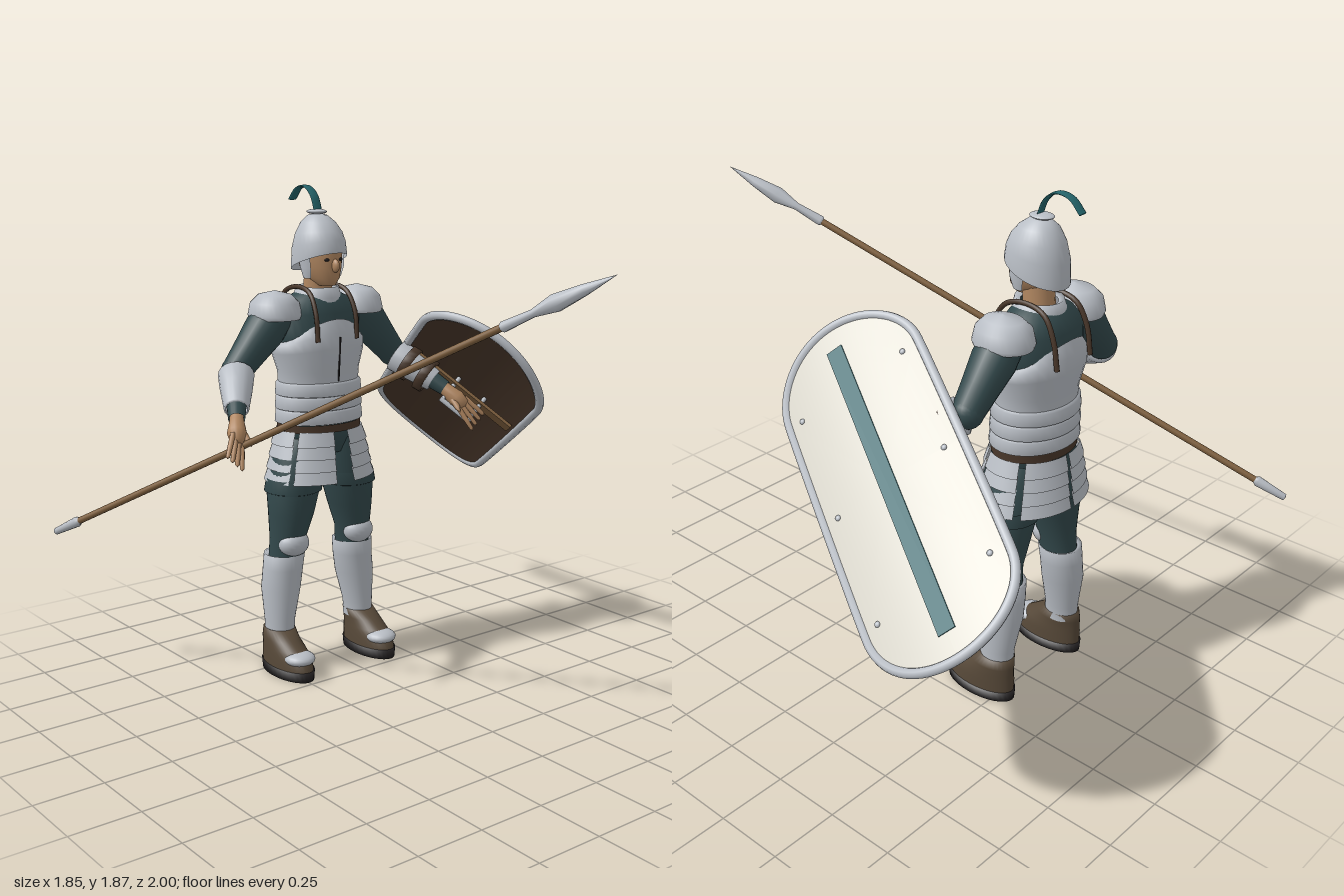
import * as THREE from 'three';

const mat = (name, color, side = THREE.DoubleSide) => {
  const m = new THREE.MeshStandardMaterial({ color, side });
  m.name = name;
  return m;
};
const V = (x, y, z) => new THREE.Vector3(x, y, z);

export function createModel() {
  const steel = mat('steel', 0xb9bec5), cloth = mat('dark cloth', 0x33494c), teal = mat('teal', 0x24646a),
    cream = mat('cream paint', 0xdad7cc), skin = mat('skin', 0xb08660), boot = mat('boot leather', 0x564838),
    strap = mat('strap leather', 0x49372a), wood = mat('wood', 0x80613f), dark = mat('black', 0x201d1e);

  const model = new THREE.Group(), body = new THREE.Group();
  model.name = 'spearman';
  body.name = 'body';
  body.position.x = -0.05;
  model.add(body);

  const add = (parent, name, geo, material, pos = [0, 0, 0], scale = [1, 1, 1]) => {
    const m = new THREE.Mesh(geo, material);
    m.name = name;
    m.position.set(...pos);
    m.scale.set(...scale);
    parent.add(m);
    return m;
  };
  const ball = (parent, name, material, pos, scale) =>
    add(parent, name, new THREE.SphereGeometry(1, 20, 14), material, pos, scale);

  // Skin over stacked ellipses: [x, y, z, rx, rz, side dip, forward tilt]; angles run from the front
  const loft = (rows, a0 = 0, a1 = 360, n = 32) => {
    const pos = [], idx = [], closed = a1 - a0 === 360, cols = closed ? n : n + 1;
    for (const [x, y, z, rx, rz, dip = 0, tilt = 0] of rows)
      for (let i = 0; i < cols; i++) {
        const a = THREE.MathUtils.degToRad(a0 + (a1 - a0) * i / n), s = Math.sin(a), c = Math.cos(a);
        pos.push(x + rx * s, y - dip * s * s + tilt * c, z + rz * c);
      }
    for (let r = 0; r < rows.length - 1; r++)
      for (let i = 0; i < n; i++) {
        const a = r * cols + i, b = r * cols + (i + 1) % cols;
        idx.push(a, b, a + cols, b, b + cols, a + cols);
      }
    const g = new THREE.BufferGeometry();
    g.setAttribute('position', new THREE.Float32BufferAttribute(pos, 3));
    g.setIndex(idx);
    g.computeVertexNormals();
    return g;
  };

  // Turned part between two points: profile of [radius, fraction of length]
  const spin = (parent, name, material, a, b, profile, n = 18) => {
    const d = b.clone().sub(a), len = d.length();
    const pts = profile.map(([r, t]) => new THREE.Vector2(r, t * len));
    const m = add(parent, name, new THREE.LatheGeometry(pts, n), material, a.toArray());
    m.quaternion.setFromUnitVectors(V(0, 1, 0), d.normalize());
    return m;
  };

  // Torso
  add(body, 'tunic', loft([[0, 0.84, -0.46, 0.001, 0.001], [0, 0.86, -0.46, 0.1, 0.09], [0, 0.95, -0.465, 0.165, 0.125],
    [0, 1.12, -0.465, 0.15, 0.115], [0, 1.3, -0.47, 0.175, 0.13], [0, 1.4, -0.47, 0.185, 0.12],
    [0, 1.45, -0.47, 0.13, 0.095], [0, 1.48, -0.465, 0.07, 0.07]]), cloth);
  add(body, 'cuirass', loft([[0, 1.12, -0.465, 0.165, 0.128], [0, 1.18, -0.465, 0.168, 0.132],
    [0, 1.27, -0.468, 0.19, 0.148, 0.02], [0, 1.33, -0.47, 0.192, 0.148, 0.05], [0, 1.38, -0.47, 0.165, 0.132, 0.08]]), steel);
  add(body, 'cuirassSeam', new THREE.BoxGeometry(0.004, 0.17, 0.006), dark, [0, 1.23, -0.324]).rotation.x = 0.09;
  for (let i = 0; i < 3; i++) {
    const y = 0.98 + i * 0.053, r = 0.182 - i * 0.002;
    add(body, 'waistBand', loft([[0, y, -0.465, r - 0.012, 0.13], [0, y + 0.004, -0.465, r, 0.142],
      [0, y + 0.046, -0.465, r - 0.004, 0.139], [0, y + 0.055, -0.465, r - 0.014, 0.128]]), steel);
  }
  add(body, 'belt', loft([[0, 0.95, -0.465, 0.172, 0.135], [0, 0.98, -0.465, 0.172, 0.135]]), strap);
  add(body, 'collar', loft([[0, 1.42, -0.465, 0.11, 0.098], [0, 1.455, -0.465, 0.092, 0.093],
    [0, 1.495, -0.463, 0.078, 0.086], [0, 1.485, -0.463, 0.06, 0.065]]), steel);

  // Overlapping skirt plates: front, side and back panels
  for (const s of [-1, 1])
    for (const [p, q] of [[10, 56], [62, 116], [124, 178]])
      for (let i = 0; i < 4; i++) {
        const y = 0.955 - i * 0.047, g = i * 0.011;
        const rows = [[0, y - 0.055, -0.465, 0.198 + g, 0.158 + g * 0.6], [0, y, -0.465, 0.176 + g, 0.143 + g * 0.6]];
        add(body, 'skirtPlate', loft(rows, s > 0 ? p : -q, s > 0 ? q : -p, 10), steel);
      }

  // Head and helmet
  spin(body, 'neck', skin, V(0, 1.43, -0.465), V(0, 1.56, -0.455), [[0.057, 0], [0.052, 1]]);
  add(body, 'head', loft([[0, 1.498, -0.4, 0.001, 0.001], [0, 1.502, -0.4, 0.03, 0.035], [0, 1.53, -0.425, 0.056, 0.075],
    [0, 1.57, -0.44, 0.071, 0.093], [0, 1.62, -0.445, 0.078, 0.098], [0, 1.67, -0.45, 0.076, 0.095]]), skin);
  ball(body, 'nose', skin, [0, 1.578, -0.345], [0.013, 0.025, 0.022]);
  ball(body, 'mouth', strap, [0, 1.54, -0.356], [0.02, 0.004, 0.005]);
  for (const s of [-1, 1]) {
    ball(body, 'eye', dark, [s * 0.03, 1.6, -0.355], [0.011, 0.006, 0.005]);
    add(body, 'cheekGuard', loft([[0, 1.53, -0.43, 0.079, 0.05], [0, 1.57, -0.43, 0.088, 0.07],
      [0, 1.65, -0.44, 0.095, 0.085]], s > 0 ? 60 : -110, s > 0 ? 110 : -60, 8), steel);
  }
  add(body, 'helmet', loft([[0, 1.585, -0.45, 0.1, 0.116, 0, 0.04], [0, 1.6, -0.45, 0.1, 0.116, 0, 0.038],
    [0, 1.65, -0.45, 0.097, 0.111, 0, 0.02], [0, 1.695, -0.45, 0.085, 0.097, 0, 0.008], [0, 1.735, -0.452, 0.062, 0.072],
    [0, 1.76, -0.455, 0.034, 0.04], [0, 1.768, -0.455, 0.001, 0.001]]), steel);
  ball(body, 'helmetFinial', steel, [0, 1.772, -0.46], [0.035, 0.01, 0.045]);
  const plume = new THREE.CatmullRomCurve3([V(0, 1.77, -0.45), V(0, 1.83, -0.475), V(0, 1.862, -0.52),
    V(0, 1.855, -0.575), V(0, 1.812, -0.62)]);
  add(body, 'plume', new THREE.TubeGeometry(plume, 20, 0.005, 8), teal, [0, 0, 0], [3.8, 1, 1]);

  for (const s of [-1, 1]) {
    const P = (x, y, z) => V(s * x, y, z);
    const X = s * 0.19;

    // Shoulder plate and harness strap
    add(body, 'shoulderPlate', loft([[X, 1.385, -0.47, 0.092, 0.105], [X, 1.4, -0.47, 0.098, 0.11],
      [X, 1.445, -0.47, 0.088, 0.1], [X, 1.475, -0.468, 0.058, 0.07], [X, 1.49, -0.466, 0.001, 0.001]]), steel);
    const harness = new THREE.CatmullRomCurve3([P(0.09, 1.3, -0.335), P(0.09, 1.4, -0.345), P(0.085, 1.475, -0.39),
      P(0.08, 1.495, -0.47), P(0.085, 1.475, -0.55), P(0.09, 1.4, -0.595), P(0.09, 1.3, -0.615)]);
    add(body, 'harnessStrap', new THREE.TubeGeometry(harness, 32, 0.009, 8), strap);

    // Arm
    const elbow = P(0.365, 1.205, -0.47), wrist = P(0.48, 1.075, -0.29), knuckle = P(0.528, 1.005, -0.215);
    spin(body, 'upperArm', cloth, P(0.17, 1.42, -0.47), elbow, [[0.07, 0], [0.078, 0.35], [0.065, 0.7], [0.055, 1]]);
    ball(body, 'elbow', cloth, elbow.toArray(), [0.056, 0.056, 0.056]);
    spin(body, 'forearm', cloth, elbow, wrist, [[0.052, 0], [0.033, 0.9], [0.03, 1.05]]);
    spin(body, 'armGuard', steel, elbow, wrist, [[0.052, 0.08], [0.067, 0.1], [0.06, 0.4], [0.046, 0.82], [0.038, 0.83]]);

    // Hand
    spin(body, 'palm', skin, wrist, knuckle, [[0.024, -0.1], [0.027, 0.2], [0.035, 0.65], [0.024, 1], [0, 1.08]]);
    for (let i = 0; i < 4; i++) {
      const o = P(0.013 * (1.5 - i), 0.012 * (1.5 - i), 0);
      spin(body, 'finger', skin, knuckle.clone().add(o), P(0.567, 0.935, -0.17).addScaledVector(o, 1.5),
        [[0.01, -0.2], [0.01, 0.4], [0.008, 0.9], [0, 1]], 8);
    }
    spin(body, 'thumb', skin, P(0.49, 1.04, -0.25), P(0.485, 0.985, -0.185), [[0.014, 0], [0.011, 0.7], [0, 1]], 8);

    // Leg
    add(body, 'thigh', loft([[s * 0.16, 0.44, -0.475, 0.065, 0.07], [s * 0.155, 0.53, -0.465, 0.068, 0.075],
      [s * 0.14, 0.63, -0.46, 0.088, 0.092], [s * 0.128, 0.73, -0.46, 0.104, 0.105], [s * 0.105, 0.85, -0.46, 0.1, 0.11],
      [s * 0.085, 0.93, -0.46, 0.08, 0.1]]), cloth);
    add(body, 'trouserCuff', loft([[s * 0.13, 0.715, -0.46, 0.1, 0.102], [s * 0.129, 0.72, -0.46, 0.112, 0.112],
      [s * 0.122, 0.77, -0.46, 0.108, 0.11]]), cloth);
    ball(body, 'kneeGuard', steel, [s * 0.155, 0.515, -0.425], [0.064, 0.052, 0.052]);
    add(body, 'greave', loft([[s * 0.19, 0.14, -0.48, 0.054, 0.064], [s * 0.19, 0.2, -0.48, 0.056, 0.066],
      [s * 0.178, 0.33, -0.485, 0.076, 0.08], [s * 0.168, 0.41, -0.483, 0.078, 0.08],
      [s * 0.163, 0.47, -0.478, 0.079, 0.082], [s * 0.163, 0.46, -0.478, 0.06, 0.06]]), steel);

    // Boot
    const B = s * 0.198;
    add(body, 'sole', loft([[B, 0, -0.415, 0.001, 0.001], [B, 0, -0.415, 0.07, 0.146], [B, 0.038, -0.415, 0.074, 0.148],
      [B, 0.04, -0.415, 0.001, 0.001]]), dark);
    add(body, 'boot', loft([[B, 0.036, -0.415, 0.07, 0.143], [B, 0.075, -0.42, 0.069, 0.138], [B, 0.105, -0.437, 0.065, 0.118],
      [B, 0.135, -0.46, 0.061, 0.095], [s * 0.193, 0.17, -0.48, 0.058, 0.07], [s * 0.192, 0.165, -0.48, 0.03, 0.04]]), boot);
    ball(body, 'toeCap', steel, [B, 0.08, -0.335], [0.06, 0.028, 0.063]);
  }

  // Spear
  const spear = new THREE.Group();
  spear.name = 'spear';
  model.add(spear);
  const tail = V(-0.92, 0.56, -1), tip = V(0.02, 1.65, 1), at = t => tail.clone().lerp(tip, t);
  spin(spear, 'spearShaft', wood, at(0.045), at(0.85), [[0.0125, 0], [0.0125, 1]], 12);
  spin(spear, 'spearButt', steel, at(0), at(0.055), [[0, 0], [0.013, 0.03], [0.02, 0.9], [0.012, 1]], 12);
  spin(spear, 'spearHead', steel, at(0.83), tip,
    [[0.012, 0], [0.019, 0.02], [0.014, 0.28], [0.031, 0.48], [0.02, 0.72], [0, 1]], 8);

  // Shield: local x along its length, y across, z outward
  const shield = new THREE.Group();
  shield.name = 'shield';
  const u = V(0.386, -0.449, -0.807).normalize(), n = V(0.449, 0.386, 0).normalize();
  shield.quaternion.setFromRotationMatrix(new THREE.Matrix4().makeBasis(u, n.clone().cross(u), n));
  shield.position.set(0.562, 1.005, -0.375);
  model.add(shield);
  const dome = y => 0.035 * (1 - (y / 0.28) ** 2);
  const edge = (a, k, lift) => {
    const c = Math.cos(a), y = 0.275 * Math.sin(a) * k;
    return V((Math.sign(c) * Math.min(1, Math.abs(c) * 25) * 0.42 + 0.225 * c) * k, y, dome(y) + lift);
  };
  const plate = lift => {
    const g = new THREE.PlaneGeometry(1, 1, 96, 10), p = g.attributes.position;
    for (let j = 0, i = 0; j <= 10; j++)
      for (let c = 0; c <= 96; c++, i++) p.setXYZ(i, ...edge(c / 96 * Math.PI * 2, j / 10, lift).toArray());
    g.computeVertexNormals();
    return g;
  };
  add(shield, 'shieldFace', plate(0.005), cream);
  add(shield, 'shieldBack', plate(-0.008), strap);
  const rim = new THREE.CatmullRomCurve3(Array.from({ length: 64 }, (_, i) => edge((i + 0.5) / 32 * Math.PI, 1, 0)), true);
  add(shield, 'shieldRim', new THREE.TubeGeometry(rim, 160, 0.017, 8, true), steel);
  add(shield, 'shieldStripe', new THREE.BoxGeometry(1.11, 0.062, 0.008), teal, [0, 0, 0.04]);
  for (const x of [-0.4, 0, 0.4])
    for (const y of [-0.215, 0.215]) ball(shield, 'rivet', steel, [x, y, dome(y) + 0.006], [0.01, 0.01, 0.007]);
  add(shield, 'backBoard', new THREE.BoxGeometry(0.06, 0.5, 0.012), wood, [-0.14, 0, -0.012]);
  for (const y of [-0.1, 0.03])
    spin(shield, 'gripPost', steel, V(-0.15, y, -0.1), V(-0.15, y, 0.02), [[0, 0], [0.009, 0], [0.009, 1]], 10);
  spin(shield, 'grip', steel, V(-0.15, -0.11, -0.1), V(-0.15, 0.04, -0.1), [[0, 0], [0.01, 0], [0.01, 1], [0, 1]], 10);
  for (const t of [0.28, 0.6]) {
    const p = V(0.315, 1.205, -0.47).lerp(V(0.43, 1.075, -0.29), t), d = V(0.115, -0.13, 0.18).multiplyScalar(0.14);
    spin(model, 'armStrap', strap, p, p.clone().add(d), [[0.06, 0], [0.072, 0], [0.07, 1], [0.055, 1]]);
  }
  return model;
}
